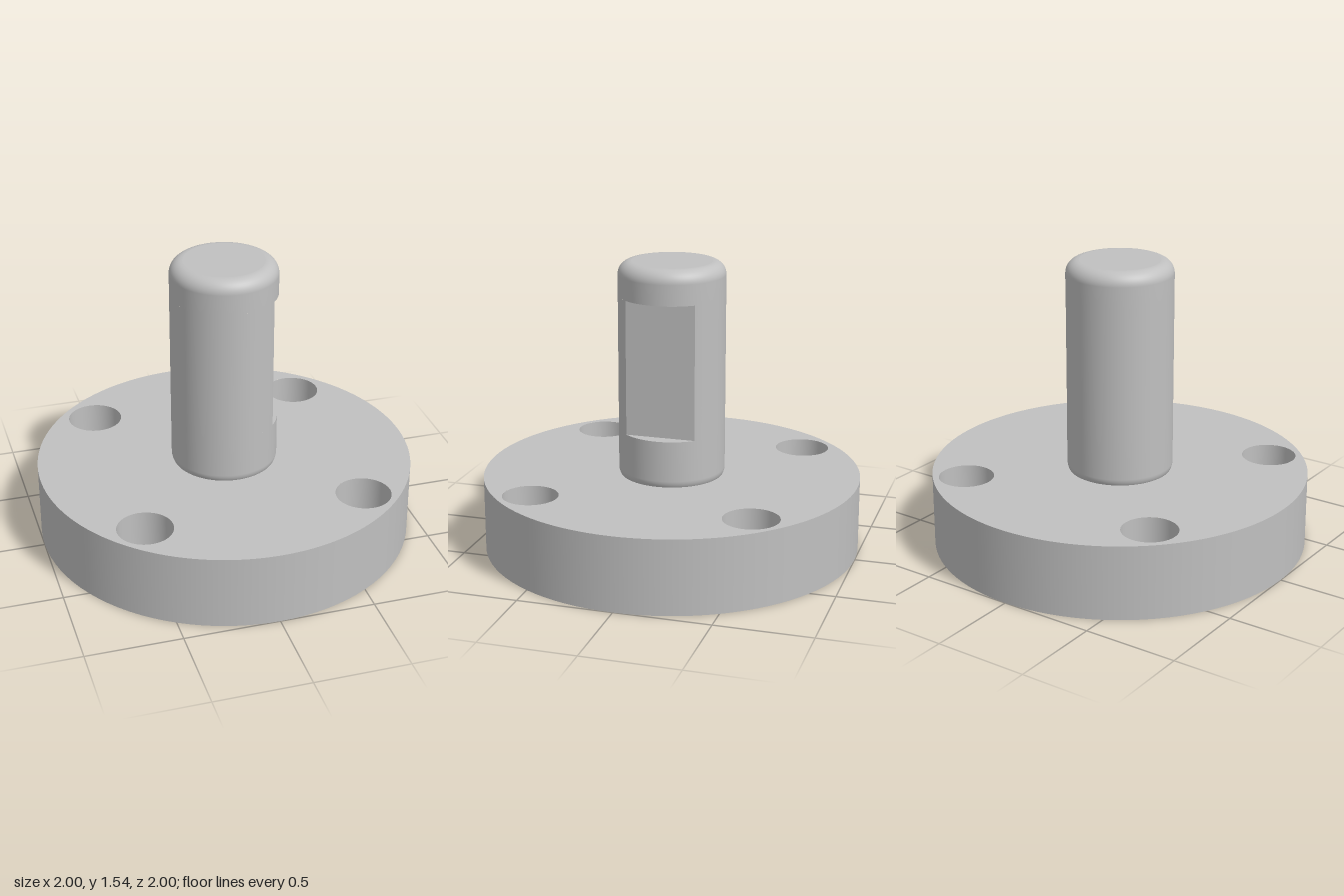
import * as THREE from 'three';

const FLANGE_R = 1, FLANGE_H = 0.396;
const HOLE_R = 0.145, HOLE_POS = 0.582;
const RECESS_R = 0.35, RECESS_D = 0.1;
const SHAFT_R = 0.281, SHAFT_TOP = 1.539, SHAFT_BASE = 0.36, FILLET = 0.07;
const FLAT_X = 0.212, FLAT_LOW = 0.645, FLAT_HIGH = 1.36;

export function createModel() {
  const group = new THREE.Group();
  const steel = new THREE.MeshStandardMaterial({ color: 0xc0c0c0 });

  const add = (name, geometry, x = 0, y = 0, z = 0) => {
    const mesh = new THREE.Mesh(geometry, steel);
    mesh.name = name;
    mesh.position.set(x, y, z);
    group.add(mesh);
  };
  // Rising profiles face outward, falling profiles face inward
  const turn = (points, start = 0, sweep = Math.PI * 2) =>
    new THREE.LatheGeometry(points.map(([r, y]) => new THREE.Vector2(r, y)), 96, start, sweep);
  const flatFace = (shape, up) =>
    new THREE.ShapeGeometry(shape, 96).rotateX(up ? -Math.PI / 2 : Math.PI / 2);
  const circle = (Type, x, y, r) => new Type().absarc(x, y, r, 0, Math.PI * 2, false);

  // Flange faces, with four bolt holes and a recess underneath
  const corners = [[1, 1], [1, -1], [-1, 1], [-1, -1]].map(c => c.map(v => v * HOLE_POS));
  const flangeFace = (extraHoles) => {
    const shape = circle(THREE.Shape, 0, 0, FLANGE_R);
    shape.holes = corners.map(([x, z]) => circle(THREE.Path, x, z, HOLE_R)).concat(extraHoles);
    return shape;
  };
  add('flangeTop', flatFace(flangeFace([]), true), 0, FLANGE_H);
  add('flangeBottom', flatFace(flangeFace([circle(THREE.Path, 0, 0, RECESS_R)]), false));
  add('flangeRim', turn([[FLANGE_R, 0], [FLANGE_R, FLANGE_H]]));
  for (const [x, z] of corners) {
    add('boltHole', turn([[HOLE_R, FLANGE_H], [HOLE_R, 0]]), x, 0, z);
  }
  add('recessWall', turn([[RECESS_R, RECESS_D], [RECESS_R, 0]]));
  add('recessFloor', flatFace(circle(THREE.Shape, 0, 0, RECESS_R), false), 0, RECESS_D);

  // Shaft ends, with rounded edges
  const fillet = (y, from, to) => Array.from({ length: 11 }, (_, i) => {
    const a = from + (to - from) * i / 10;
    return [SHAFT_R - FILLET + FILLET * Math.cos(a), y + FILLET * Math.sin(a)];
  });
  add('shaftFoot', turn([...fillet(SHAFT_BASE + FILLET, -Math.PI / 2, 0), [SHAFT_R, FLAT_LOW]]));
  add('shaftHead', turn([[SHAFT_R, FLAT_HIGH], ...fillet(SHAFT_TOP - FILLET, 0, Math.PI / 2)]));
  add('shaftEnd', flatFace(circle(THREE.Shape, 0, 0, SHAFT_R - FILLET), true), 0, SHAFT_TOP);

  // Middle of the shaft, cut by a flat on the +x side
  const half = Math.acos(FLAT_X / SHAFT_R);
  add('shaftMiddle', turn([[SHAFT_R, FLAT_LOW], [SHAFT_R, FLAT_HIGH]],
    Math.PI / 2 + half, Math.PI * 2 - 2 * half));
  add('shaftFlat',
    new THREE.PlaneGeometry(2 * SHAFT_R * Math.sin(half), FLAT_HIGH - FLAT_LOW).rotateY(Math.PI / 2),
    FLAT_X, (FLAT_LOW + FLAT_HIGH) / 2);
  const ledge = new THREE.Shape().absarc(0, 0, SHAFT_R, -half, half, false);
  add('lowerLedge', flatFace(ledge, true), 0, FLAT_LOW);
  add('upperLedge', flatFace(ledge, false), 0, FLAT_HIGH);

  return group;
}
